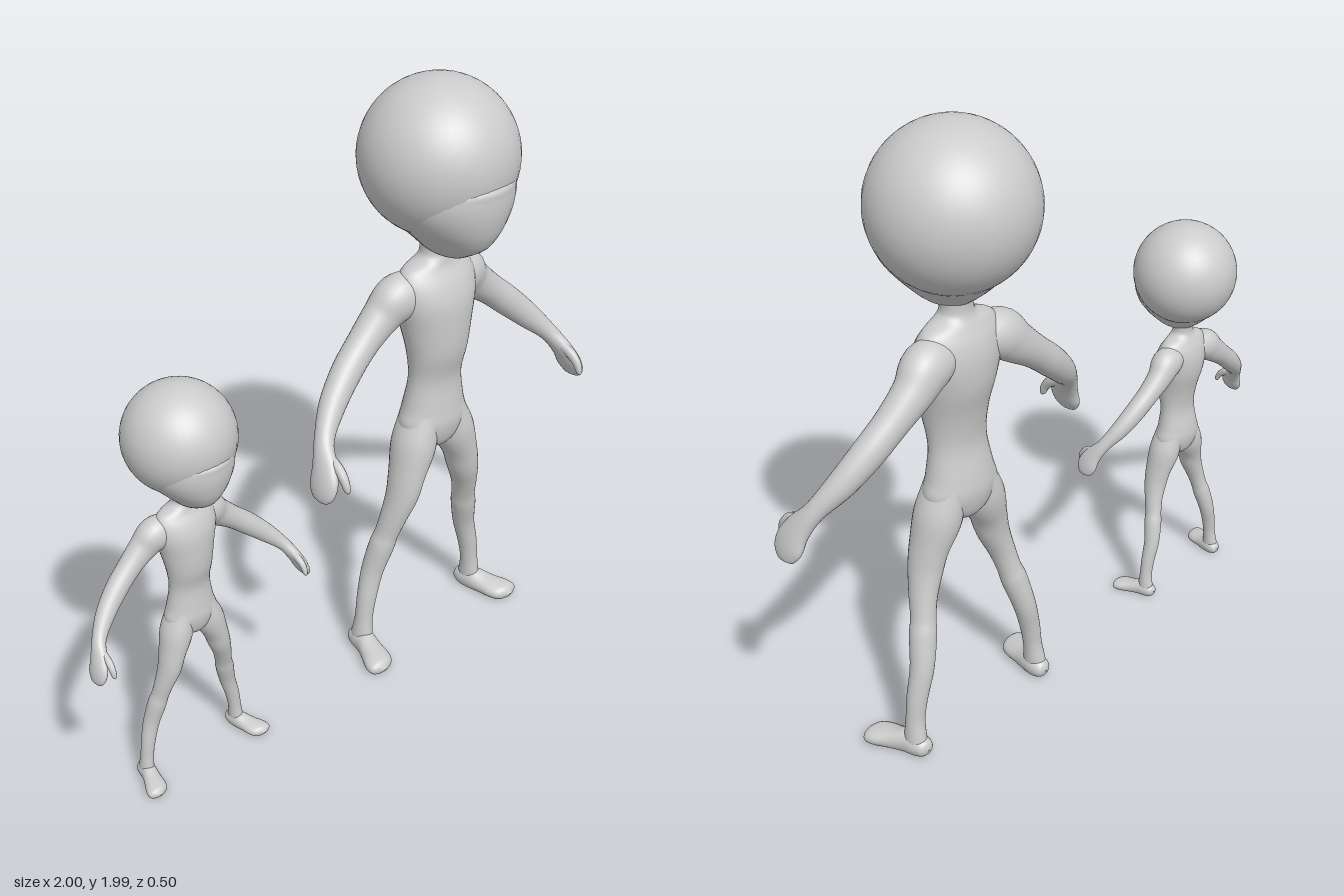
import * as THREE from 'three';

const material = new THREE.MeshStandardMaterial({ color: 0xcccccc, side: THREE.DoubleSide });

// Smooth skin through elliptical sections [x, y, z, radius across, radius along ref].
// A fixed axis keeps all rings parallel; otherwise they follow the path.
function loft(name, sections, { ref = [0, 0, 1], axis = null, side = 1, sides = 28, steps = 5 } = {}) {
  const centres = new THREE.CatmullRomCurve3(
    sections.map(s => new THREE.Vector3(s[0] * side, s[1], s[2])), false, 'catmullrom');
  const radii = new THREE.CatmullRomCurve3(
    sections.map(s => new THREE.Vector3(s[3], s[4], 0)), false, 'catmullrom');
  const rings = (sections.length - 1) * steps;
  const positions = [], indices = [];
  for (let i = 0; i <= rings; i++) {
    const t = i / rings;
    const c = centres.getPoint(t), r = radii.getPoint(t);
    const T = axis ? new THREE.Vector3(...axis) : centres.getTangent(t);
    const U = new THREE.Vector3(...ref);
    U.addScaledVector(T, -U.dot(T)).normalize();
    const V = new THREE.Vector3().crossVectors(U, T);
    for (let j = 0; j < sides; j++) {
      const a = (j / sides) * Math.PI * 2;
      const p = c.clone().addScaledVector(V, r.x * Math.cos(a)).addScaledVector(U, r.y * Math.sin(a));
      positions.push(p.x, Math.max(p.y, 0), p.z); // soles stay flat on the floor
      if (i < rings) {
        const k = (j + 1) % sides, m = i * sides, n = m + sides;
        indices.push(m + j, m + k, n + j, m + k, n + k, n + j);
      }
    }
  }
  const geometry = new THREE.BufferGeometry();
  geometry.setAttribute('position', new THREE.Float32BufferAttribute(positions, 3));
  geometry.setIndex(indices);
  geometry.computeVertexNormals();
  const mesh = new THREE.Mesh(geometry, material);
  mesh.name = name;
  return mesh;
}

const FACE = [
  [0, 1.437, 0.05, 0.002, 0.002],
  [0, 1.439, 0.05, 0.035, 0.06],
  [0, 1.455, 0.05, 0.062, 0.095],
  [0, 1.49, 0.053, 0.096, 0.145],
  [0, 1.53, 0.045, 0.134, 0.18],
  [0, 1.57, 0.037, 0.168, 0.203],
  [0, 1.62, 0.025, 0.198, 0.225],
  [0, 1.67, 0.027, 0.205, 0.225],
  [0, 1.705, 0.02, 0.19, 0.225],
  [0, 1.74, 0, 0.15, 0.18],
];

const TORSO = [
  [0, 0.735, 0.01, 0.002, 0.002],
  [0, 0.745, 0.01, 0.04, 0.045],
  [0, 0.78, 0.01, 0.1, 0.072],
  [0, 0.84, 0.01, 0.13, 0.085],
  [0, 0.9, 0.01, 0.115, 0.08],
  [0, 1.0, 0.015, 0.1, 0.068],
  [0, 1.1, 0.02, 0.11, 0.085],
  [0, 1.2, 0.01, 0.13, 0.1],
  [0, 1.28, 0.005, 0.15, 0.1],
  [0, 1.34, 0, 0.15, 0.085],
  [0, 1.385, -0.003, 0.125, 0.062],
  [0, 1.412, 0, 0.066, 0.052],
  [0, 1.44, 0, 0.05, 0.047],
  [0, 1.5, 0, 0.055, 0.05],
];

// Shoulder to wrist, ending in a flat mitten hand
const ARM = [
  [0.06, 1.31, -0.01, 0.06, 0.06],
  [0.14, 1.3, -0.02, 0.078, 0.07],
  [0.2, 1.252, -0.03, 0.064, 0.058],
  [0.28, 1.188, -0.027, 0.052, 0.05],
  [0.36, 1.12, -0.015, 0.05, 0.047],
  [0.44, 1.045, 0.01, 0.043, 0.041],
  [0.508, 0.972, 0.05, 0.03, 0.032],
  [0.542, 0.91, 0.09, 0.027, 0.046],
  [0.562, 0.86, 0.108, 0.024, 0.055],
  [0.575, 0.822, 0.115, 0.015, 0.038],
  [0.578, 0.808, 0.116, 0.002, 0.003],
];

const THUMB = [
  [0.525, 0.935, 0.1, 0.016, 0.018],
  [0.528, 0.915, 0.14, 0.016, 0.018],
  [0.53, 0.89, 0.165, 0.014, 0.015],
  [0.53, 0.862, 0.178, 0.01, 0.011],
  [0.53, 0.85, 0.18, 0.001, 0.001],
];

const LEG = [
  [0.06, 0.87, 0.01, 0.05, 0.07],
  [0.087, 0.77, 0.015, 0.07, 0.078],
  [0.122, 0.67, 0.022, 0.055, 0.066],
  [0.14, 0.6, 0.022, 0.05, 0.058],
  [0.165, 0.52, 0.01, 0.041, 0.047],
  [0.182, 0.45, -0.005, 0.038, 0.041],
  [0.195, 0.4, -0.015, 0.042, 0.043],
  [0.22, 0.3, -0.032, 0.037, 0.038],
  [0.245, 0.2, -0.032, 0.033, 0.033],
  [0.257, 0.12, -0.032, 0.03, 0.031],
  [0.263, 0.05, -0.035, 0.032, 0.04],
  [0.263, 0.02, -0.035, 0.03, 0.038],
];

// Heel to toes, turned slightly outward
const FOOT = [
  [0.26, 0.03, -0.09, 0.002, 0.002],
  [0.26, 0.03, -0.08, 0.026, 0.024],
  [0.262, 0.03, -0.05, 0.036, 0.038],
  [0.268, 0.03, -0.01, 0.039, 0.042],
  [0.283, 0.024, 0.035, 0.045, 0.034],
  [0.298, 0.02, 0.08, 0.053, 0.03],
  [0.306, 0.018, 0.112, 0.043, 0.024],
  [0.308, 0.018, 0.13, 0.002, 0.002],
];

function createFigure(name) {
  const figure = new THREE.Group();
  figure.name = name;

  const cranium = new THREE.Mesh(new THREE.SphereGeometry(0.247, 40, 28), material);
  cranium.name = 'cranium';
  cranium.position.y = 1.738;
  figure.add(cranium);

  const upright = { axis: [0, 1, 0], sides: 36 };
  figure.add(loft('face', FACE, upright), loft('torso', TORSO, upright));

  for (const [label, side] of [['left', 1], ['right', -1]]) {
    figure.add(
      loft(label + 'Arm', ARM, { side }),
      loft(label + 'Thumb', THUMB, { side, ref: [0, 1, 0], sides: 12 }),
      loft(label + 'Leg', LEG, { side }),
      loft(label + 'Foot', FOOT, { side, axis: [0, 0, 1], ref: [0, 1, 0] }),
    );
  }
  return figure;
}

export function createModel() {
  const model = new THREE.Group();
  model.name = 'twoFigures';

  const tall = createFigure('tallFigure');
  tall.position.x = 0.41;

  const small = createFigure('smallFigure');
  small.position.x = -0.6;
  small.scale.setScalar(0.678);

  model.add(tall, small);
  return model;
}
